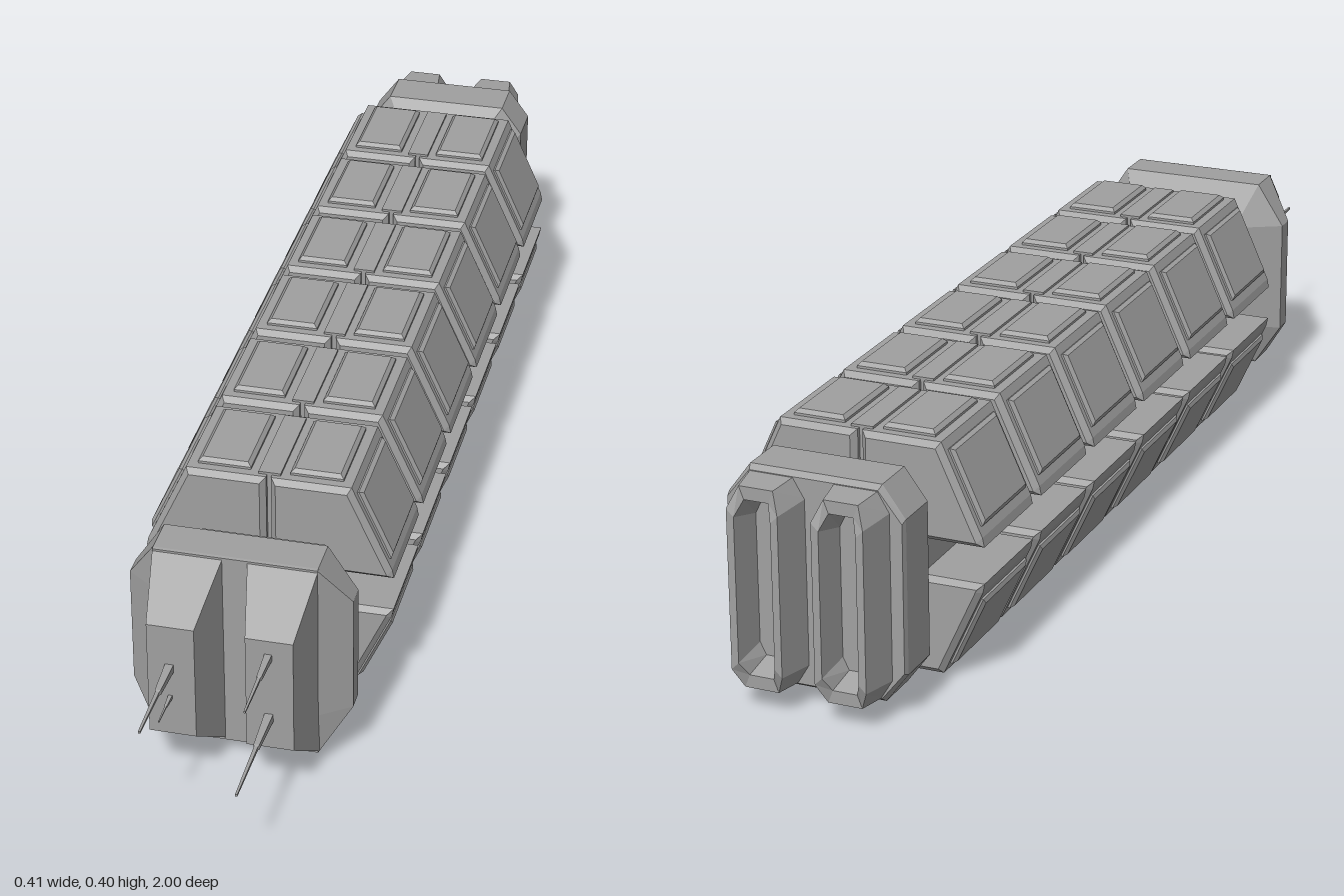
import * as THREE from 'three';

const MID = 0.202; // height of the ship's long axis

// Eight-sided loop, counter-clockwise seen from +z.
// hx, hy: full half sizes; tx: half width of top edge; sy: half height of side edge; ze: z of the top and bottom edges
function oct(cx, hx, hy, tx, sy, z, ze = z) {
  return [
    [cx + hx, MID - sy, z], [cx + hx, MID + sy, z], [cx + tx, MID + hy, ze], [cx - tx, MID + hy, ze],
    [cx - hx, MID + sy, z], [cx - hx, MID - sy, z], [cx - tx, MID - hy, ze], [cx + tx, MID - hy, ze],
  ];
}

function rect(cx, cy, hx, hy, z) {
  return [[cx + hx, cy - hy, z], [cx + hx, cy + hy, z], [cx - hx, cy + hy, z], [cx - hx, cy - hy, z]];
}

// Skin a list of loops, ordered from back to front, with capped ends
function loft(loops) {
  const pos = [];
  const tri = (a, b, c) => pos.push(...a, ...b, ...c);
  const n = loops[0].length;
  for (let s = 0; s + 1 < loops.length; s++) {
    const a = loops[s], b = loops[s + 1];
    for (let i = 0; i < n; i++) {
      const j = (i + 1) % n;
      tri(a[i], a[j], b[j]);
      tri(a[i], b[j], b[i]);
    }
  }
  const first = loops[0], last = loops[loops.length - 1];
  for (let i = 1; i + 1 < n; i++) {
    tri(first[0], first[i + 1], first[i]);
    tri(last[0], last[i], last[i + 1]);
  }
  const g = new THREE.BufferGeometry();
  g.setAttribute('position', new THREE.Float32BufferAttribute(pos, 3));
  g.computeVertexNormals();
  return g;
}

export function createModel() {
  const model = new THREE.Group();
  model.name = 'cargoShip';
  const hull = new THREE.MeshStandardMaterial({ color: 0xa0a0a0 });
  hull.name = 'hullGrey';

  const add = (parent, name, geometry) => {
    const mesh = new THREE.Mesh(geometry, hull);
    mesh.name = name;
    parent.add(mesh);
    return mesh;
  };
  const box = (parent, name, w, h, d, x, y, z) =>
    add(parent, name, new THREE.BoxGeometry(w, h, d)).position.set(x, y, z);

  // Spine beam and the collars at both ends
  box(model, 'spine', 0.2, 0.06, 1.38, 0, MID, -0.14);
  add(model, 'frontNeck', loft([
    rect(0, MID, 0.06, 0.06, 0.51), rect(0, MID + 0.003, 0.1, 0.097, 0.535), rect(0, MID + 0.003, 0.1, 0.097, 0.6),
  ]));

  // Command head with two raised front lobes
  const head = new THREE.Group();
  head.name = 'commandHead';
  model.add(head);
  add(head, 'headBody', loft([
    oct(0, 0.1, 0.1, 0.1, 0.09, 0.597),
    oct(0, 0.178, 0.174, 0.13, 0.1, 0.642),
    oct(0, 0.178, 0.174, 0.13, 0.1, 0.675, 0.705),
    oct(0, 0.13, 0.173, 0.13, 0.1, 0.71),
  ]));
  for (const s of [1, -1]) {
    add(head, 'headLobe', loft([
      rect(s * 0.075, MID, 0.056, 0.173, 0.705), rect(s * 0.0775, MID, 0.0375, 0.1, 0.805),
    ]));
  }

  // Antennas: x, y, half thickness, tip z
  const antennas = [
    [0.076, 0.272, 0.006, 0.945], [-0.08, 0.226, 0.007, 0.97],
    [-0.08, 0.171, 0.0035, 0.87], [0.076, 0.159, 0.007, 1],
  ];
  for (const [x, y, r, tip] of antennas) {
    const mid = 0.8 + (tip - 0.8) * 0.4;
    add(head, 'antenna', loft([
      rect(x, y, r, r, 0.8), rect(x, y, r * 0.65, r * 0.65, mid),
      rect(x, y, r * 0.45, r * 0.45, mid + 0.003), rect(x, y, r * 0.25, r * 0.25, tip),
    ]));
  }

  // Cargo pod: bevelled extrusion of one quadrant, relative to the axis
  const podShape = new THREE.Shape([
    [0.004, 0.03], [0.203, 0.03], [0.2, 0.045], [0.134, 0.19], [0.004, 0.19],
  ].map(([x, y]) => new THREE.Vector2(x, y)));
  const bevel = 0.009, podLength = 0.202;
  const podGeometry = new THREE.ExtrudeGeometry(podShape, {
    depth: podLength - 2 * bevel, bevelEnabled: true, bevelSegments: 1,
    bevelThickness: bevel, bevelSize: bevel, bevelOffset: -bevel,
  });
  podGeometry.translate(0, 0, -podLength / 2 + bevel);

  // Raised cover plate with sloping rim, rising along +y from y = 0
  const plate = (w, d, h) => {
    const c = 0.006;
    const g = loft([
      rect(0, 0, w / 2, d / 2, -0.004), rect(0, 0, w / 2, d / 2, h * 0.4), rect(0, 0, w / 2 - c, d / 2 - c, h),
    ]);
    return g.rotateX(-Math.PI / 2);
  };
  const topPlate = plate(0.086, 0.155, 0.01);
  const sidePlate = plate(0.128, 0.165, 0.008);
  const slope = Math.atan2(0.145, 0.066);

  // Six modules of four pods; each quadrant is a half turn of the first
  const quadrants = [[0, 0, 0], [0, Math.PI, 0], [Math.PI, 0, 0], [0, 0, Math.PI]];
  for (let i = 0; i < 6; i++) {
    const module = new THREE.Group();
    module.name = 'cargoModule';
    module.position.set(0, MID, 0.409 - i * 0.2186);
    model.add(module);
    for (const turn of quadrants) {
      const pod = new THREE.Group();
      pod.name = 'cargoPod';
      pod.rotation.set(...turn);
      module.add(pod);
      add(pod, 'podBody', podGeometry);
      add(pod, 'topPlate', topPlate).position.set(0.075, 0.19, 0);
      const side = add(pod, 'sidePlate', sidePlate);
      side.position.set(0.167, 0.1175, 0);
      side.rotation.z = -slope;
    }
    box(module, 'centreStrap', 0.036, 0.388, 0.17, 0, 0, 0);
  }
  // Narrow keel showing in the gaps between modules
  box(model, 'keel', 0.06, 0.32, 1.24, 0, MID, -0.14);

  // Engine block with two hollow slot nozzles
  const engine = new THREE.Group();
  engine.name = 'engineBlock';
  model.add(engine);
  box(engine, 'rearNeck', 0.2, 0.06, 0.06, 0, MID, -0.81);
  add(engine, 'engineBody', loft([
    oct(0, 0.143, 0.168, 0.105, 0.12, -0.935),
    oct(0, 0.145, 0.175, 0.108, 0.125, -0.925),
    oct(0, 0.145, 0.175, 0.108, 0.125, -0.85),
    oct(0, 0.125, 0.15, 0.09, 0.105, -0.826),
  ]));
  for (const s of [1, -1]) {
    const x = s * 0.069;
    add(engine, 'nozzle', loft([
      oct(x, 0.022, 0.125, 0.012, 0.105, -0.945),
      oct(x, 0.03, 0.142, 0.02, 0.118, -1, -0.985),
      oct(x, 0.042, 0.163, 0.028, 0.13, -1, -0.985),
      oct(x, 0.055, 0.167, 0.036, 0.135, -0.93),
    ]));
  }

  return model;
}
